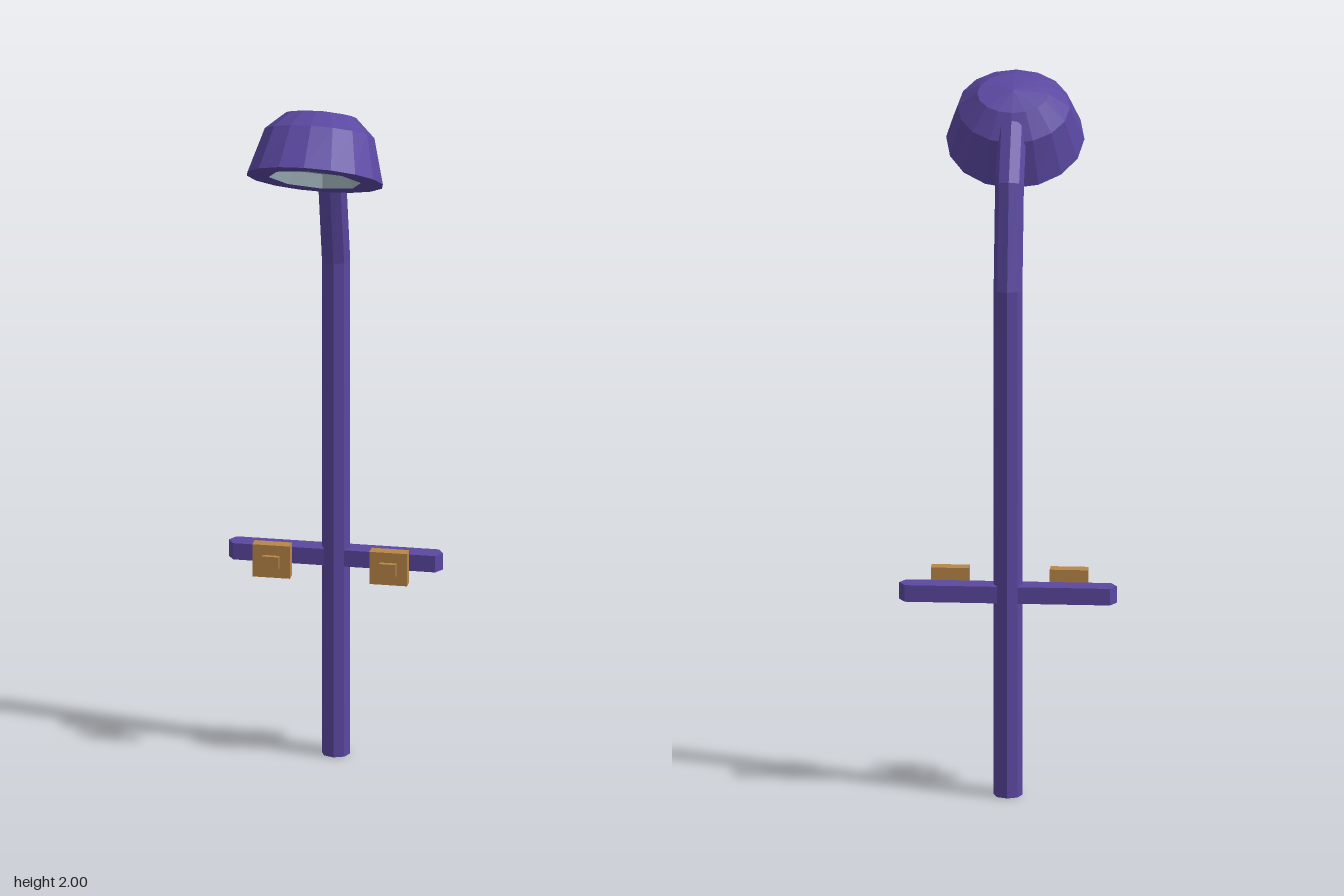
import * as THREE from 'three';

// Ring of points around y; vertex 0 points to +z
function ring(n, rx, rz, place) {
  return Array.from({ length: n }, (_, i) => {
    const a = (i / n) * Math.PI * 2;
    return place(rx * Math.sin(a), rz * Math.cos(a));
  });
}

// Flat-shaded skin over rings, with optional end points closing it as fans
function loft(rings, start, end) {
  const tris = [];
  const n = rings[0].length;
  for (let j = 0; j < n; j++) {
    const k = (j + 1) % n;
    for (let i = 0; i + 1 < rings.length; i++) {
      const a = rings[i], b = rings[i + 1];
      tris.push(a[j], a[k], b[k], a[j], b[k], b[j]);
    }
    const last = rings[rings.length - 1];
    if (start) tris.push(start, rings[0][k], rings[0][j]);
    if (end) tris.push(end, last[j], last[k]);
  }
  const g = new THREE.BufferGeometry().setFromPoints(tris);
  g.computeVertexNormals();
  return g;
}

export function createModel() {
  const purple = new THREE.MeshStandardMaterial({ color: 0x5b48a1, flatShading: true });
  purple.name = 'purple paint';
  const brass = new THREE.MeshStandardMaterial({ color: 0xb98748, flatShading: true });
  brass.name = 'brass';
  const glass = new THREE.MeshStandardMaterial({ color: 0xa9bcc5, flatShading: true });
  glass.name = 'pale glass';

  const model = new THREE.Group();
  model.name = 'streetLamp';
  const V = (x, y, z) => new THREE.Vector3(x, y, z);
  const add = (parent, name, geometry, material) => {
    const m = new THREE.Mesh(geometry, material);
    m.name = name;
    parent.add(m);
    return m;
  };

  // Octagonal pole bending forward: y, z, tilt of the section
  const stations = [[0, -0.223, 0], [1.46, -0.223, 0.11], [1.745, -0.158, 0.47], [1.88, -0.043, 0.7]];
  const poleRings = stations.map(([y, z, t]) =>
    ring(8, 0.04, 0.04, (px, pz) => V(px, y - pz * Math.sin(t), z + pz * Math.cos(t))));
  add(model, 'pole', loft(poleRings, V(0, 0, -0.223), V(0, 1.88, -0.043)), purple);

  // Crossbar with pointed ends
  const outline = new THREE.Shape([[-0.302, 0], [-0.285, -0.028], [0.285, -0.028], [0.302, 0],
    [0.285, 0.028], [-0.285, 0.028]].map(([x, y]) => new THREE.Vector2(x, y)));
  const bar = new THREE.ExtrudeGeometry(outline, { depth: 0.048, bevelEnabled: false });
  bar.rotateX(-Math.PI / 2).translate(0, 0.561, -0.223);
  add(model, 'crossbar', bar, purple);

  // Stepped brass fittings in front of the bar: width, height, back z, front z
  const steps = [['fittingNeck', 0.06, 0.022, -0.2, -0.162],
    ['fittingPlate', 0.106, 0.095, -0.162, -0.128],
    ['fittingKnob', 0.047, 0.036, -0.128, -0.115]];
  for (const side of [-1, 1]) {
    const fitting = new THREE.Group();
    fitting.name = side > 0 ? 'leftFitting' : 'rightFitting';
    fitting.position.set(side * 0.165, 0.587, 0);
    for (const [name, w, h, back, front] of steps)
      add(fitting, name, new THREE.BoxGeometry(w, h, front - back), brass)
        .position.z = (front + back) / 2;
    model.add(fitting);
  }

  // Tilted lamp head
  const head = new THREE.Group();
  head.name = 'lampHead';
  head.position.set(0, 1.805, 0.095);
  head.rotation.x = -Math.PI / 6;
  model.add(head);

  // Faceted dome: height, half width, half depth
  const domeRings = [[0, 0.192, 0.191], [0.128, 0.156, 0.14], [0.181, 0.1, 0.075]]
    .map(([y, rx, rz]) => ring(16, rx, rz, (x, z) => V(x, y, z)));
  add(head, 'dome', loft(domeRings, null, V(0, 0.195, 0)), purple);

  // Flat rim under the dome with an eight-sided opening
  const flat = (x, y) => new THREE.Vector2(x, y);
  const rimShape = new THREE.Shape(ring(16, 0.192, 0.191, flat));
  rimShape.holes.push(new THREE.Path(ring(8, 0.13, 0.137, flat)));
  add(head, 'rim', new THREE.ShapeGeometry(rimShape).rotateX(Math.PI / 2), purple);

  // Recessed light, facing down
  const recess = [[0.036, 0.108, 0.114], [0, 0.13, 0.137]]
    .map(([y, rx, rz]) => ring(8, rx, rz, (x, z) => V(x, y, z)));
  add(head, 'light', loft(recess, V(0, 0.036, 0)), glass);

  return model;
}
